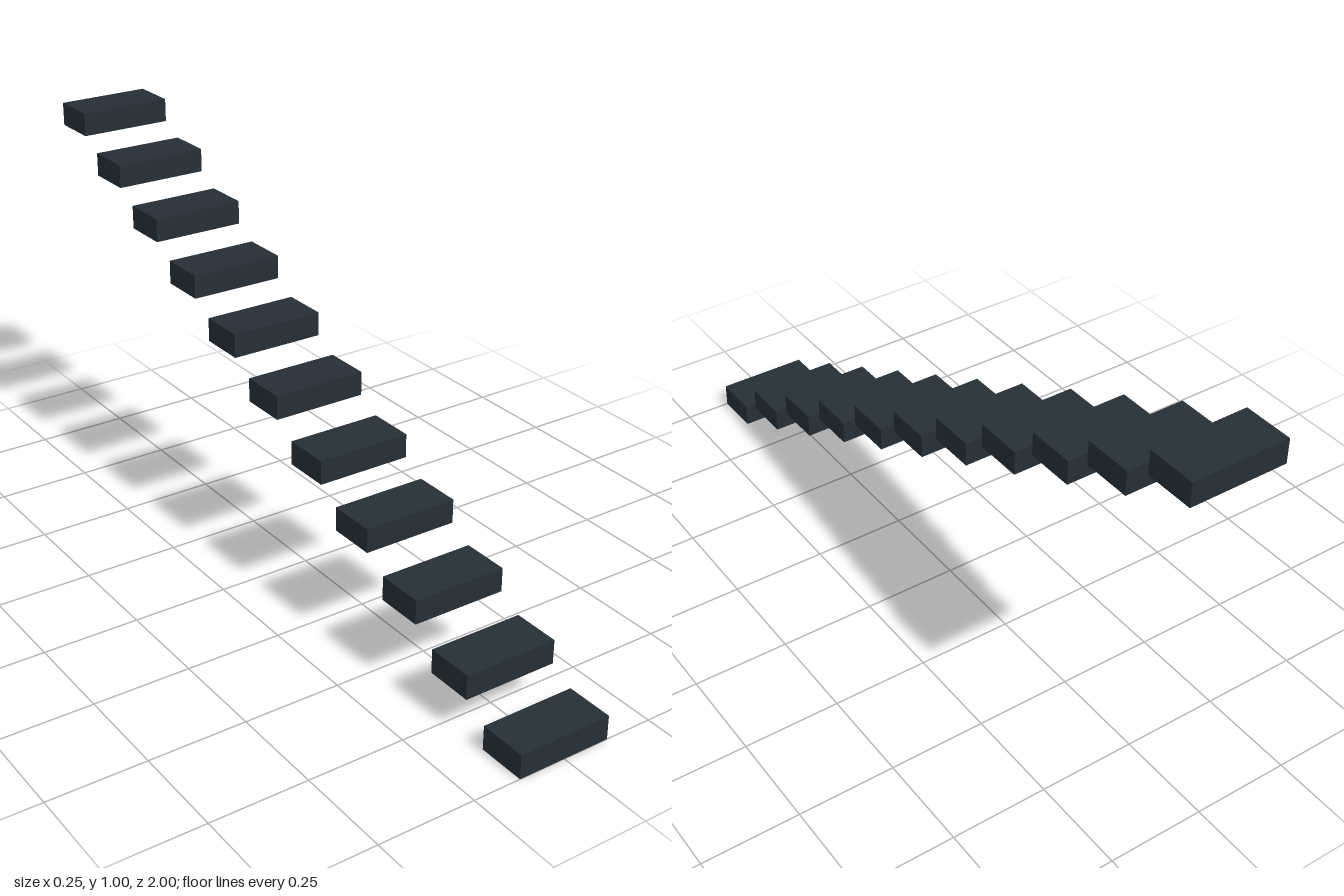
import * as THREE from 'three';

const STEPS = 11;
const WIDTH = 0.25, HEIGHT = 0.0625, DEPTH = 0.125;
const RISE = 0.09375, RUN = 0.1875;

// Thin-walled block with no underside: four walls and a tread
function openBlock(w, h, d) {
  const geo = new THREE.BoxGeometry(w, h, d);
  const index = Array.from(geo.index.array);
  index.splice(18, 6); // drop the two triangles of the bottom face
  geo.setIndex(index);
  geo.clearGroups();
  return geo;
}

export function createModel() {
  const model = new THREE.Group();
  model.name = 'floatingStairs';

  const slate = new THREE.MeshStandardMaterial({ color: 0x252f37, side: THREE.DoubleSide });
  slate.name = 'dark slate';

  // Floating steps, climbing from the front to the back
  const geo = openBlock(WIDTH, HEIGHT, DEPTH);
  for (let i = 0; i < STEPS; i++) {
    const step = new THREE.Mesh(geo, slate);
    step.name = `step${i + 1}`;
    step.position.set(0, HEIGHT / 2 + i * RISE, ((STEPS - 1) / 2 - i) * RUN);
    model.add(step);
  }
  return model;
}
